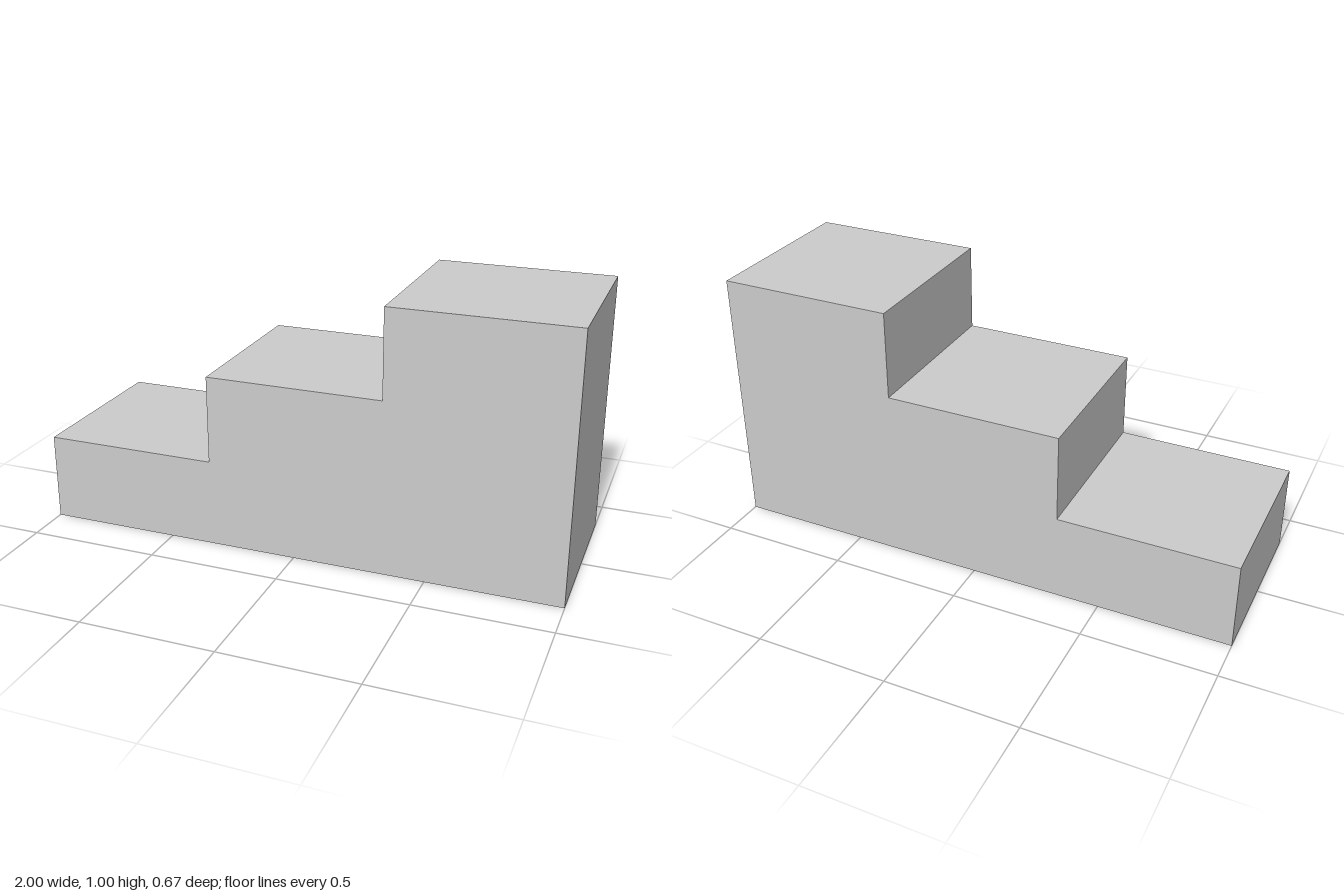
import * as THREE from 'three';

const STEPS = 3;
const TREAD = 2 / 3;
const RISE = 1 / 3;
const DEPTH = 2 / 3;

export function createModel() {
  const group = new THREE.Group();
  group.name = 'steps';

  // Stepped side profile, rising toward +x
  const profile = new THREE.Shape();
  profile.moveTo(-1, 0);
  profile.lineTo(1, 0);
  for (let i = STEPS; i > 0; i--) {
    profile.lineTo(-1 + i * TREAD, i * RISE);
    profile.lineTo(-1 + (i - 1) * TREAD, i * RISE);
  }
  profile.closePath();

  // Solid staircase block, centred in depth
  const geometry = new THREE.ExtrudeGeometry(profile, { depth: DEPTH, bevelEnabled: false });
  geometry.translate(0, 0, -DEPTH / 2);

  const material = new THREE.MeshStandardMaterial({ color: 0xcccccc, flatShading: true });
  const staircase = new THREE.Mesh(geometry, material);
  staircase.name = 'staircase';
  group.add(staircase);

  return group;
}
